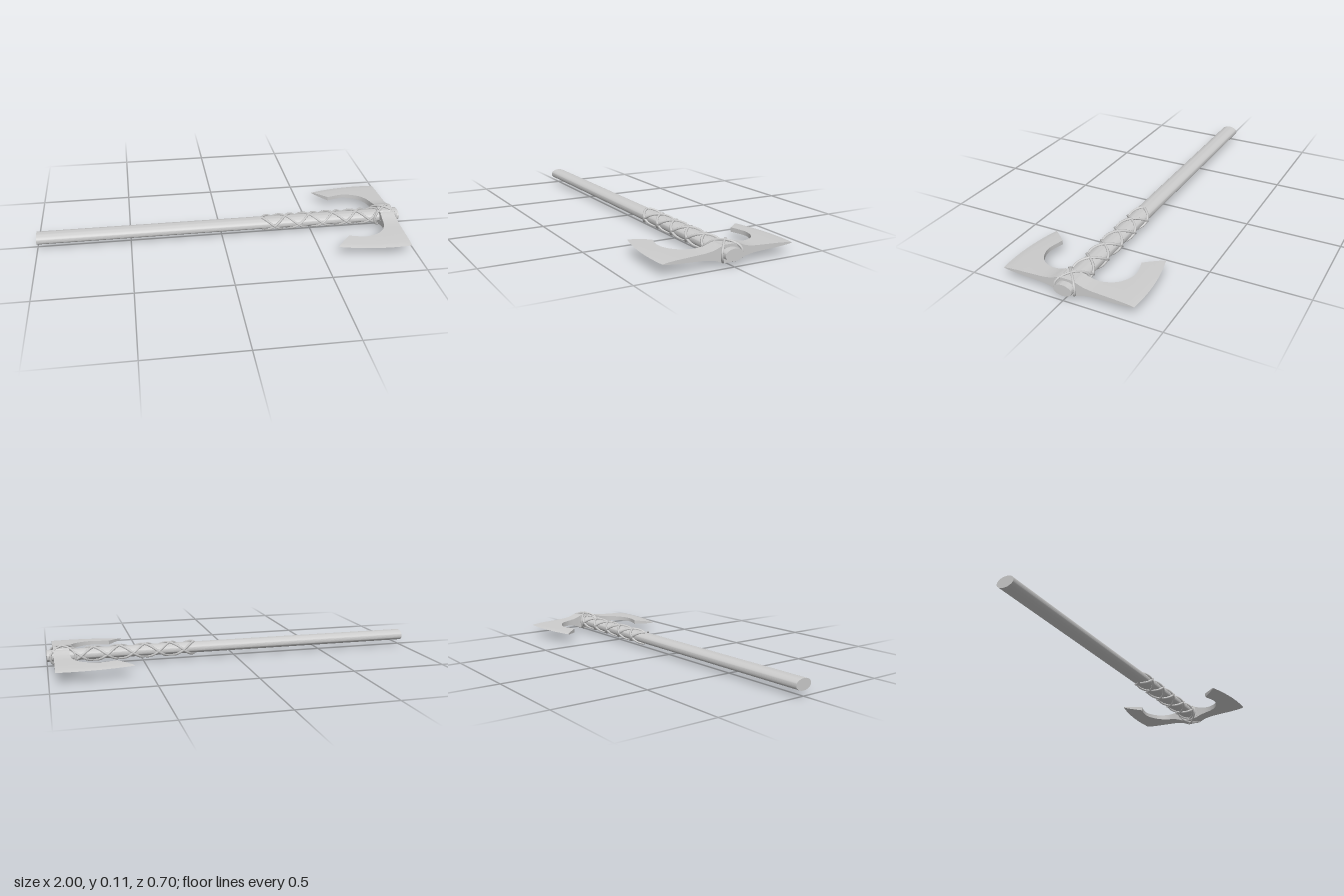
import * as THREE from 'three';
import { toCreasedNormals } from 'three/addons/utils/BufferGeometryUtils.js';

const MID = 0.056; // height of the shaft axis
const mat = new THREE.MeshStandardMaterial({ color: 0xcccccc });

function add(parent, name, geometry) {
  const mesh = new THREE.Mesh(geometry, mat);
  mesh.name = name;
  parent.add(mesh);
  return mesh;
}

// Cord following a function t -> Vector3
function cord(fn, segments, radius, closed) {
  const curve = new THREE.Curve();
  curve.getPoint = (t, target = new THREE.Vector3()) => target.copy(fn(t));
  return new THREE.TubeGeometry(curve, segments, radius, 6, closed);
}

// Half thickness of the head against distance from the shaft
const PROFILE = [[0, 0.04], [0.05, 0.037], [0.065, 0.03], [0.09, 0.022], [0.13, 0.016],
  [0.2, 0.0125], [0.27, 0.009], [0.32, 0.005], [0.345, 0]];
function halfThickness(d) {
  for (let i = 1; i < PROFILE.length; i++) {
    const [a, ha] = PROFILE[i - 1], [b, hb] = PROFILE[i];
    if (d <= b) return ha + (hb - ha) * (d - a) / (b - a);
  }
  return 0;
}
const edgeZ = x => 0.35 - 0.5 * (x - 0.87) ** 2; // curve of the cutting edge

// Blade: closed cross-sections swept between the inner hook and the outer edge
function bladeGeometry() {
  const inner = new THREE.SplineCurve([[0.888, 0], [0.888, 0.07], [0.877, 0.15],
    [0.835, 0.21], [0.755, 0.24], [0.66, 0.22]].map(p => new THREE.Vector2(...p)));
  const N = 40, M = 10, L = 2 * (M + 1);
  const pos = [], index = [];
  for (let i = 0; i <= N; i++) {
    const t = i / N;
    const a = inner.getPointAt(t);
    const ox = t <= 0.5 ? 0.967 : 0.967 - (t - 0.5) * 2 * 0.387;
    const oz = t <= 0.5 ? edgeZ(0.967) * t * 2 : edgeZ(ox);
    const top = [];
    for (let j = 0; j <= M; j++) {
      const x = a.x + (ox - a.x) * j / M, z = a.y + (oz - a.y) * j / M;
      top.push([x, halfThickness(z * 0.345 / edgeZ(x)), z]);
    }
    for (const p of top) pos.push(...p);
    for (const [x, y, z] of top.reverse()) pos.push(x, -y, z);
  }
  const quad = (a, b, c, d) => index.push(a, b, c, a, c, d);
  for (let i = 0; i < N; i++) {
    for (let j = 0; j < L; j++) {
      const k = (j + 1) % L;
      quad(i * L + j, (i + 1) * L + j, (i + 1) * L + k, i * L + k);
    }
  }
  // Flat end of the horn
  for (let j = 0; j < M; j++) {
    const s = N * L;
    quad(s + j, s + L - 1 - j, s + L - 2 - j, s + j + 1);
  }
  const g = new THREE.BufferGeometry();
  g.setAttribute('position', new THREE.Float32BufferAttribute(pos, 3));
  g.setIndex(index);
  return toCreasedNormals(g, 0.6);
}

export function createModel() {
  const axe = new THREE.Group();
  axe.name = 'doubleAxe';
  const body = new THREE.Group();
  body.name = 'axeBody';
  body.position.y = MID;
  axe.add(body);

  // Oval shaft
  const shaft = new THREE.CylinderGeometry(1, 1, 2, 40);
  shaft.rotateZ(-Math.PI / 2);
  shaft.scale(1, 0.029, 0.048);
  add(body, 'shaft', toCreasedNormals(shaft, 0.6));

  // Faceted eye where the head is fitted on the shaft
  const eye = new THREE.Shape([[0.061, 0.018], [0.034, 0.042], [-0.034, 0.042], [-0.061, 0.018],
    [-0.061, -0.018], [-0.034, -0.042], [0.034, -0.042], [0.061, -0.018]]
    .map(p => new THREE.Vector2(...p)));
  const eyeGeometry = new THREE.ExtrudeGeometry(eye, { depth: 0.079, bevelEnabled: false });
  eyeGeometry.rotateY(Math.PI / 2);
  eyeGeometry.translate(0.888, 0, 0);
  add(body, 'headEye', eyeGeometry);

  // Two opposite blades
  const blade = bladeGeometry();
  add(body, 'leftBlade', blade);
  add(body, 'rightBlade', blade).rotation.x = Math.PI;

  // Criss-cross binding: two cords wound each way
  const x0 = 0.225, x1 = 0.895;
  for (const dir of [1, -1]) {
    for (const phase of [0, Math.PI]) {
      add(body, 'shaftBinding', cord(t => {
        const x = x0 + (x1 - x0) * t;
        const a = dir * 2 * Math.PI * (x - 0.356) / 0.27 + phase;
        return new THREE.Vector3(x, 0.033 * Math.cos(a), 0.053 * Math.sin(a));
      }, 120, 0.0065, false));
    }
    // Diagonal loop crossing over the eye
    add(body, 'headBinding', cord(t => {
      const a = 2 * Math.PI * t, s = Math.sin(a), c = Math.cos(a);
      return new THREE.Vector3(0.92 + dir * 0.063 * s,
        0.049 * Math.sign(c) * Math.abs(c) ** 0.9, 0.054 * s);
    }, 64, 0.006, true));
  }
  return axe;
}
